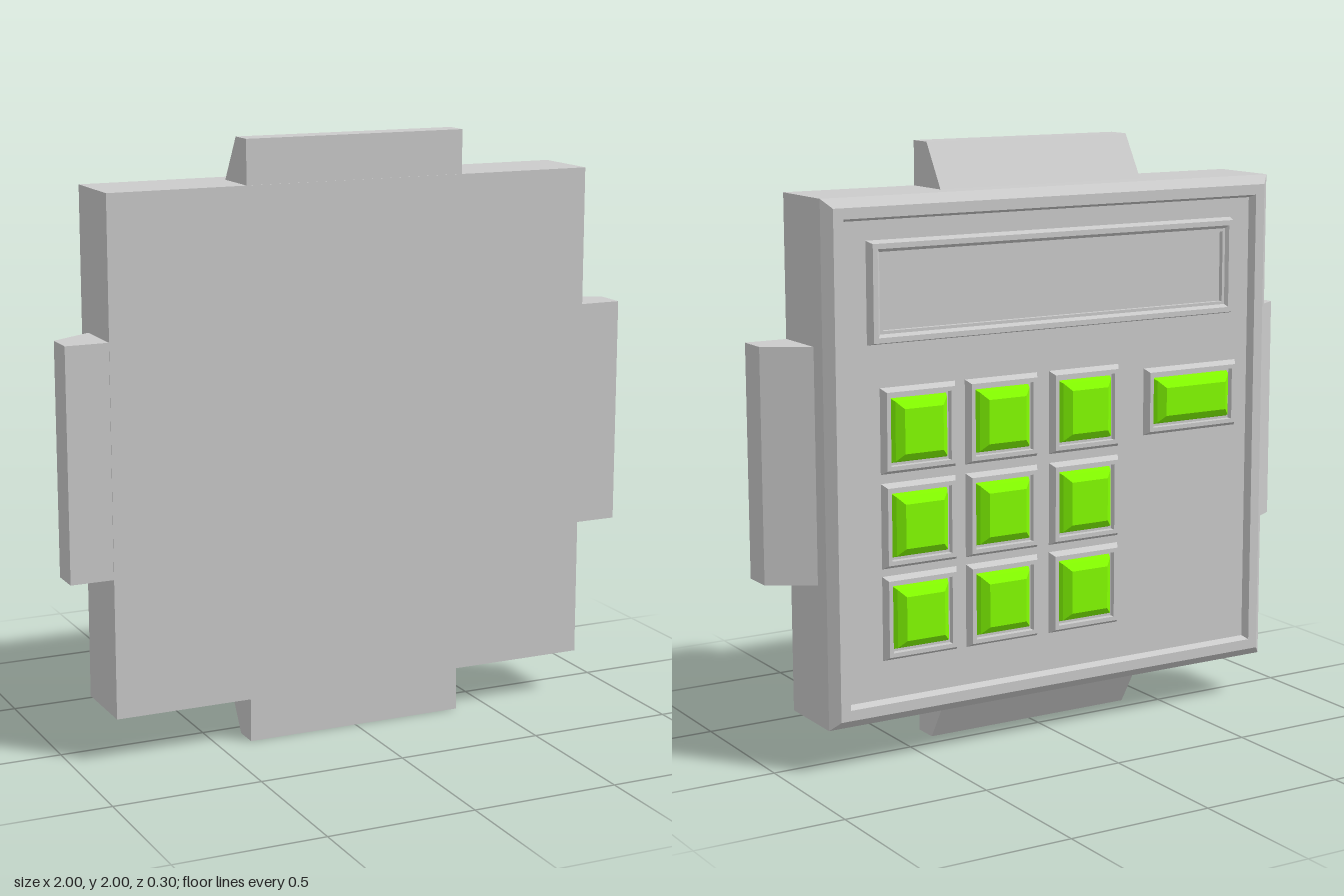
import * as THREE from 'three';

const grey = new THREE.MeshStandardMaterial({ color: 0xcccccc, flatShading: true });
const green = new THREE.MeshStandardMaterial({ color: 0x84ff00, flatShading: true });

const PANEL_Z = -0.112; // recessed panel that carries the screen and keys

// Lofts rectangles [halfWidth, halfHeight, z] towards -z and caps the last one.
function steppedPlate(rings, closeStart = false) {
  const pos = [];
  const corners = rings.map(([w, h, z]) => [[-w, -h, z], [-w, h, z], [w, h, z], [w, -h, z]]);
  const quad = (a, b, c, d) => pos.push(...a, ...b, ...c, ...a, ...c, ...d);
  for (let r = 0; r < corners.length - 1; r++) {
    const a = corners[r], b = corners[r + 1];
    for (let i = 0; i < 4; i++) {
      const j = (i + 1) % 4;
      quad(a[i], a[j], b[j], b[i]);
    }
  }
  quad(...corners[corners.length - 1]);
  if (closeStart) quad(...[...corners[0]].reverse());
  const g = new THREE.BufferGeometry();
  g.setAttribute('position', new THREE.Float32BufferAttribute(pos, 3));
  g.computeVertexNormals();
  return g;
}

function add(parent, name, geometry, material, x = 0, y = 0) {
  const mesh = new THREE.Mesh(geometry, material);
  mesh.name = name;
  mesh.position.set(x, y, 0);
  parent.add(mesh);
  return mesh;
}

// Key of half size w, h with a raised bevelled surround
function addKey(parent, name, x, y, w, h) {
  const key = new THREE.Group();
  key.name = name;
  key.position.set(x, y, 0);
  add(key, 'keySurround', steppedPlate([
    [w + 0.035, h + 0.035, PANEL_Z],
    [w + 0.022, h + 0.022, -0.135],
    [w + 0.008, h + 0.008, -0.135],
    [w + 0.008, h + 0.008, -0.114],
  ]), grey);
  add(key, 'keyCap', steppedPlate([
    [w, h, -0.113],
    [w - 0.008, h - 0.008, -0.135],
    [w - 0.032, h - 0.032, -0.155],
  ]), green);
  parent.add(key);
}

// Wedge-shaped tab along the top edge, turned to the other edges
function tabGeometry(slopeStart, slopeEnd) {
  const profile = new THREE.Shape([
    [0.145, 0.853], [0.145, 1], [slopeEnd, 1], [slopeStart, 0.853],
  ].map(([z, out]) => new THREE.Vector2(z, out)));
  const g = new THREE.ExtrudeGeometry(profile, { depth: 0.77, bevelEnabled: false });
  return g.translate(0, 0, -0.385).rotateY(-Math.PI / 2);
}

export function createModel() {
  const model = new THREE.Group();
  model.name = 'keypad';
  const unit = new THREE.Group();
  unit.name = 'keypadUnit';
  unit.position.y = 1;
  model.add(unit);

  // Housing with chamfered edge, rim and recessed panel
  add(unit, 'housing', steppedPlate([
    [0.855, 0.853, 0.147],
    [0.855, 0.853, -0.11],
    [0.825, 0.823, -0.14],
    [0.79, 0.788, -0.14],
    [0.78, 0.778, PANEL_Z],
  ], true), grey);

  // Mounting tabs on the four edges
  ['topTab', 'rightTab', 'bottomTab', 'leftTab'].forEach((name, i) => {
    const g = i % 2 ? tabGeometry(-0.05, 0.04) : tabGeometry(-0.03, 0.06);
    add(unit, name, g, grey).rotation.z = i * Math.PI / 2;
  });

  // Display window with stepped frame
  add(unit, 'display', steppedPlate([
    [0.7, 0.165, PANEL_Z],
    [0.692, 0.157, -0.145],
    [0.675, 0.14, -0.145],
    [0.665, 0.13, -0.135],
    [0.655, 0.12, -0.135],
    [0.655, 0.12, -0.118],
  ]), grey, 0, 0.55);

  // Three by three keys and one wide key beside the top row
  for (const y of [0.105, -0.205, -0.51]) {
    for (const x of [0.52, 0.21, -0.11]) addKey(unit, 'key', x, y, 0.102, 0.105);
  }
  addKey(unit, 'wideKey', -0.54, 0.105, 0.155, 0.08);

  return model;
}
